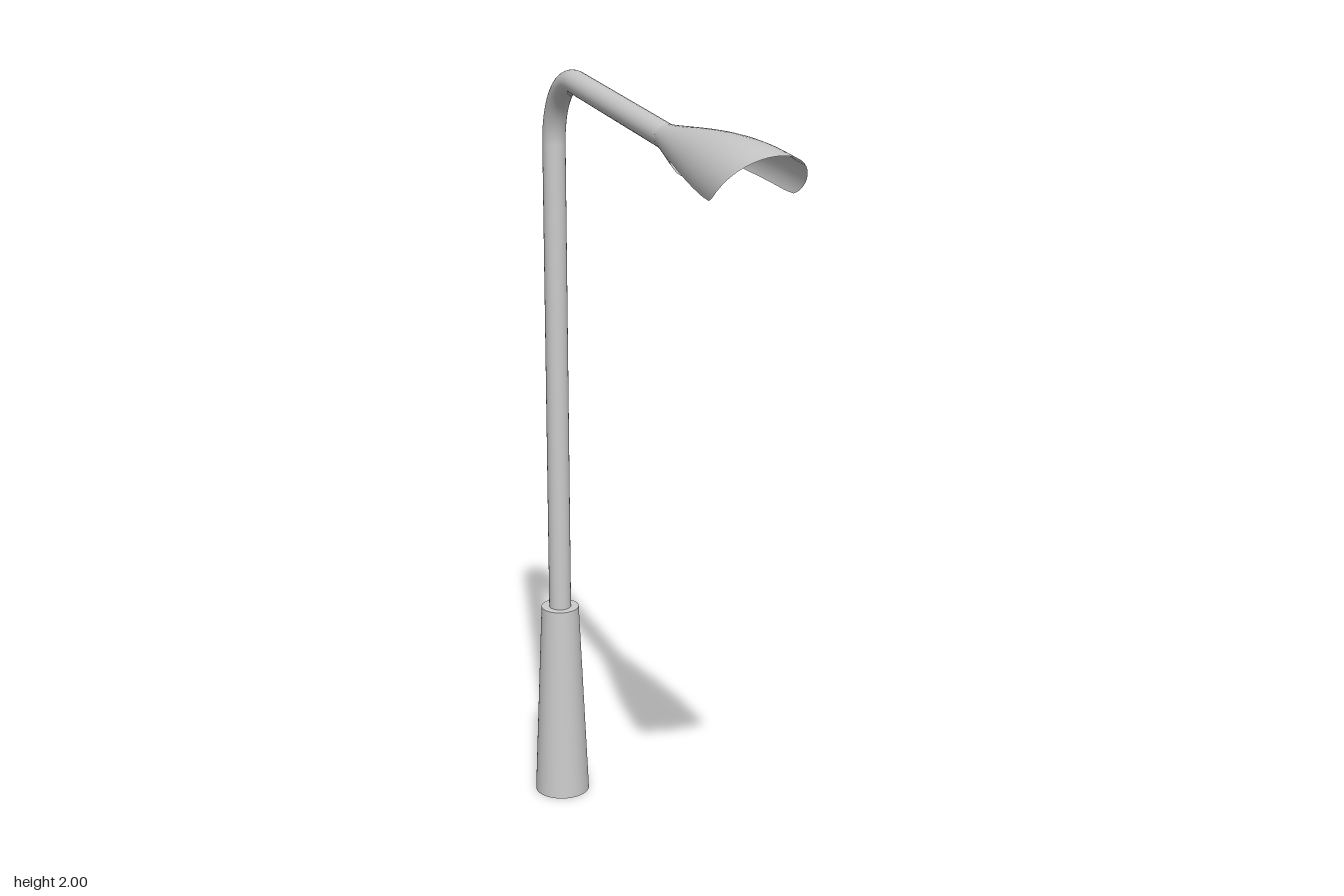
import * as THREE from 'three';
import { ParametricGeometry } from 'three/addons/geometries/ParametricGeometry.js';

const POLE_Z = -0.665, ARM_Y = 1.908, PIPE_R = 0.028, BEND_R = 0.18;
const HEAD_BACK = 0.12, HOOD_BACK = 0.28, HEAD_FRONT = 0.735, HEAD_R = 0.092;

// lower edge of the open hood as [z, y]
const RIM = [[0.28, 1.896], [0.56, 1.887], [0.6, 1.889], [0.625, 1.902], [0.655, 1.926], [0.735, 2.0]];

function rimHeight(z) {
  for (let i = 1; i < RIM.length; i++) {
    const [z0, y0] = RIM[i - 1], [z1, y1] = RIM[i];
    if (z <= z1) return y0 + (y1 - y0) * (z - z0) / (z1 - z0);
  }
  return RIM[RIM.length - 1][1];
}

// radius of the lamp head along the arm axis
function headRadius(z) {
  const t = THREE.MathUtils.clamp((z - HEAD_BACK) / 0.54, 0, 1);
  return PIPE_R + (HEAD_R - PIPE_R) * Math.sin(Math.pow(t, 1.1) * Math.PI / 2);
}

// round shell about the arm axis, spanning +-halfAngle(z) from the top
function headShell(zAt, halfAngle, slices, stacks) {
  const geometry = new ParametricGeometry((u, v, target) => {
    const z = zAt(v), r = headRadius(z), a = (2 * u - 1) * halfAngle(z);
    target.set(-r * Math.sin(a), ARM_Y + r * Math.cos(a), z);
  }, slices, stacks);
  // smooth normals that match across the joint
  const p = geometry.attributes.position, n = new THREE.Vector3();
  for (let i = 0; i < p.count; i++) {
    const z = p.getZ(i), slope = (headRadius(z + 0.001) - headRadius(z - 0.001)) / 0.002;
    n.set(p.getX(i), p.getY(i) - ARM_Y, 0).normalize().setZ(-slope).normalize();
    geometry.attributes.normal.setXYZ(i, n.x, n.y, n.z);
  }
  return geometry;
}

export function createModel() {
  const model = new THREE.Group();
  model.name = 'streetLamp';
  const grey = new THREE.MeshStandardMaterial({ color: 0xcccccc });
  const greyThin = new THREE.MeshStandardMaterial({ color: 0xcccccc, side: THREE.DoubleSide });

  const add = (name, geometry, material = grey) => {
    const mesh = new THREE.Mesh(geometry, material);
    mesh.name = name;
    model.add(mesh);
    return mesh;
  };

  // tapered foot
  add('base', new THREE.CylinderGeometry(0.048, 0.07, 0.52, 32)).position.set(0, 0.26, POLE_Z);

  // upright pole, quarter bend and horizontal arm
  const poleTop = ARM_Y - BEND_R, armBack = POLE_Z + BEND_R, poleStart = 0.5;
  add('pole', new THREE.CylinderGeometry(PIPE_R, PIPE_R, poleTop - poleStart, 24))
    .position.set(0, (poleTop + poleStart) / 2, POLE_Z);

  const bend = add('bend', new THREE.TorusGeometry(BEND_R, PIPE_R, 24, 20, Math.PI / 2));
  bend.rotation.y = Math.PI / 2;
  bend.position.set(0, poleTop, armBack);

  const arm = add('arm', new THREE.CylinderGeometry(PIPE_R, PIPE_R, HEAD_BACK - armBack, 24));
  arm.rotation.x = Math.PI / 2;
  arm.position.set(0, ARM_Y, (HEAD_BACK + armBack) / 2);

  // closed flared socket
  add('lampSocket', headShell(
    v => HEAD_BACK + (HOOD_BACK - HEAD_BACK) * v,
    () => Math.PI, 32, 12), greyThin);

  // hood open below, its rim sweeping up to the front tip
  add('lampHood', headShell(
    v => HOOD_BACK + (HEAD_FRONT - HOOD_BACK) * (1 - (1 - v) ** 2),
    z => Math.acos(THREE.MathUtils.clamp((rimHeight(z) - ARM_Y) / headRadius(z), -1, 1)),
    32, 40), greyThin);

  return model;
}
